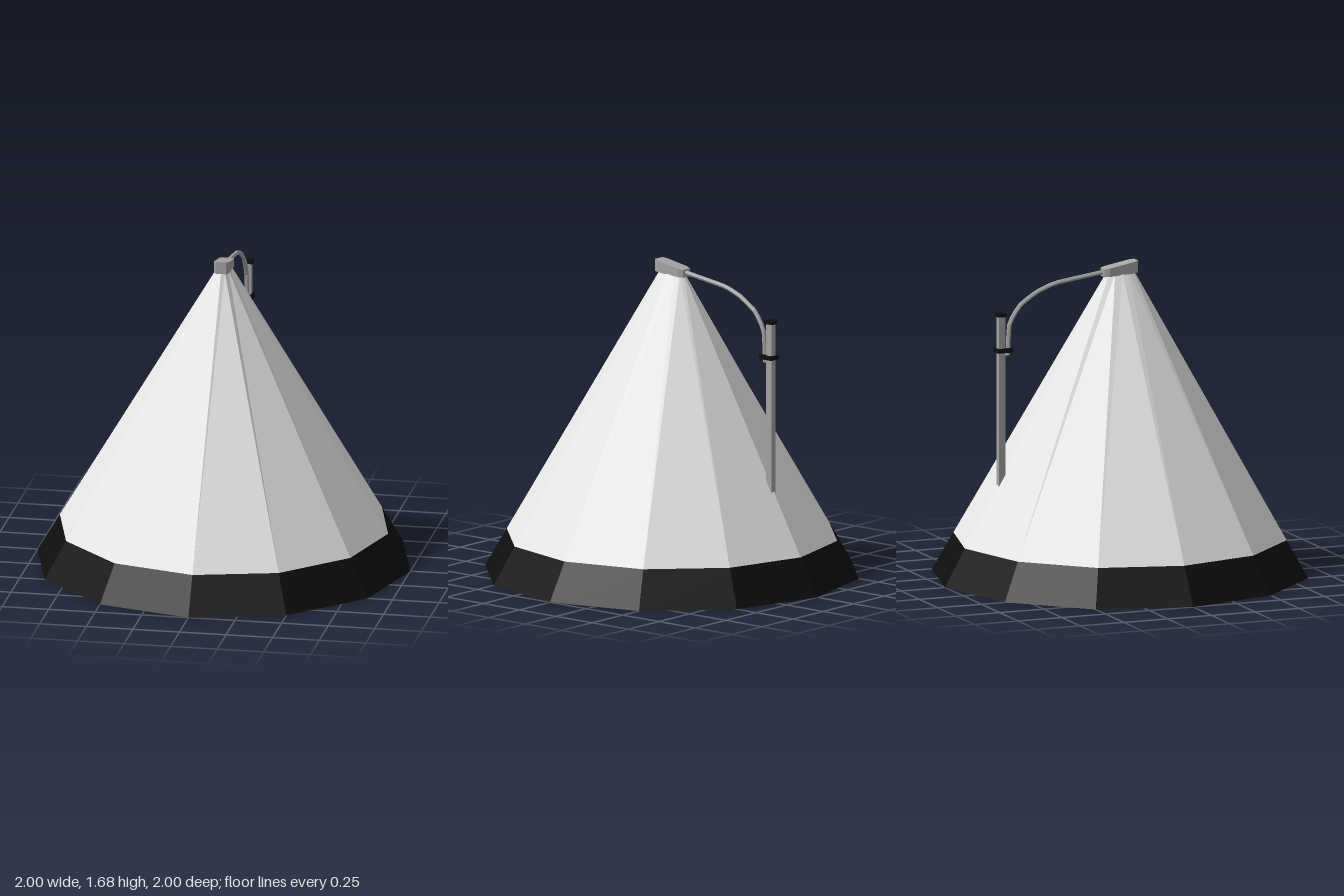
import * as THREE from 'three';

const flat = (color, name, side = THREE.FrontSide) => {
  const m = new THREE.MeshStandardMaterial({ color, flatShading: true, side });
  m.name = name;
  return m;
};

export function createModel() {
  const model = new THREE.Group();
  model.name = 'conicalCanopy';
  const cloth = flat(0xe7e7e7, 'pale cloth', THREE.DoubleSide);
  const trim = flat(0x0e0e0e, 'black trim', THREE.DoubleSide);
  const metal = flat(0xa5a5a5, 'grey metal');

  const add = (name, geometry, material, x = 0, y = 0, z = 0) => {
    const mesh = new THREE.Mesh(geometry, material);
    mesh.name = name;
    mesh.position.set(x, y, z);
    model.add(mesh);
    return mesh;
  };

  // Twelve-sided skirt slice, shrinking from a round base to a narrow oval top
  const TOP = 1.62;
  const skirt = (y0, y1) => {
    const g = new THREE.CylinderGeometry(1, 1, y1 - y0, 12, 1, true);
    g.translate(0, (y0 + y1) / 2, 0);
    const p = g.attributes.position;
    for (let i = 0; i < p.count; i++) {
      const t = p.getY(i) / TOP;
      p.setX(i, p.getX(i) * THREE.MathUtils.lerp(1, 0.036, t));
      p.setZ(i, p.getZ(i) * THREE.MathUtils.lerp(1, 0.08, t));
    }
    g.computeVertexNormals();
    return g;
  };
  add('canopy', skirt(0.2, TOP), cloth);
  add('hemBand', skirt(0, 0.2), trim);

  // Crown block: chamfered outline, taller at the front
  const outline = new THREE.Shape([
    [-0.028, -0.092], [0.028, -0.092], [0.04, -0.065], [0.04, 0.075],
    [0.028, 0.1], [-0.028, 0.1], [-0.04, 0.075], [-0.04, -0.065],
  ].map(([x, y]) => new THREE.Vector2(x, y)));
  const crown = new THREE.ExtrudeGeometry(outline, { depth: 1, bevelEnabled: false });
  crown.rotateX(-Math.PI / 2);
  const p = crown.attributes.position;
  for (let i = 0; i < p.count; i++) {
    const z = p.getZ(i);
    const low = 1.609 + z * 0.06;
    const high = 1.663 + z * 0.18;
    p.setY(i, p.getY(i) > 0.5 ? high : low);
  }
  crown.computeVertexNormals();
  add('crown', crown, metal);

  // Bent support arm made of straight runs
  const path = new THREE.CurvePath();
  const bends = [[1.63, -0.07], [1.588, -0.365], [1.547, -0.476], [1.482, -0.572], [1.388, -0.631], [1.22, -0.642]]
    .map(([y, z]) => new THREE.Vector3(0, y, z));
  const arm = new THREE.CatmullRomCurve3(bends, false, 'catmullrom', 0.2);
  add('supportArm', new THREE.TubeGeometry(arm, 20, 0.012, 6), metal);

  // Square pole running through the canopy down to a flared foot
  const Z = -0.681;
  add('pole', new THREE.BoxGeometry(0.036, 1.36, 0.036), metal, 0, 0.76, Z);
  const foot = new THREE.CylinderGeometry(0.0255, 0.055, 0.16, 4);
  foot.rotateY(Math.PI / 4);
  add('poleFoot', foot, metal, 0, 0.08, Z);
  add('poleCap', new THREE.BoxGeometry(0.05, 0.018, 0.05), trim, 0, 1.44, Z);
  add('armClamp', new THREE.BoxGeometry(0.064, 0.022, 0.084), trim, 0, 1.25, -0.667);

  return model;
}
